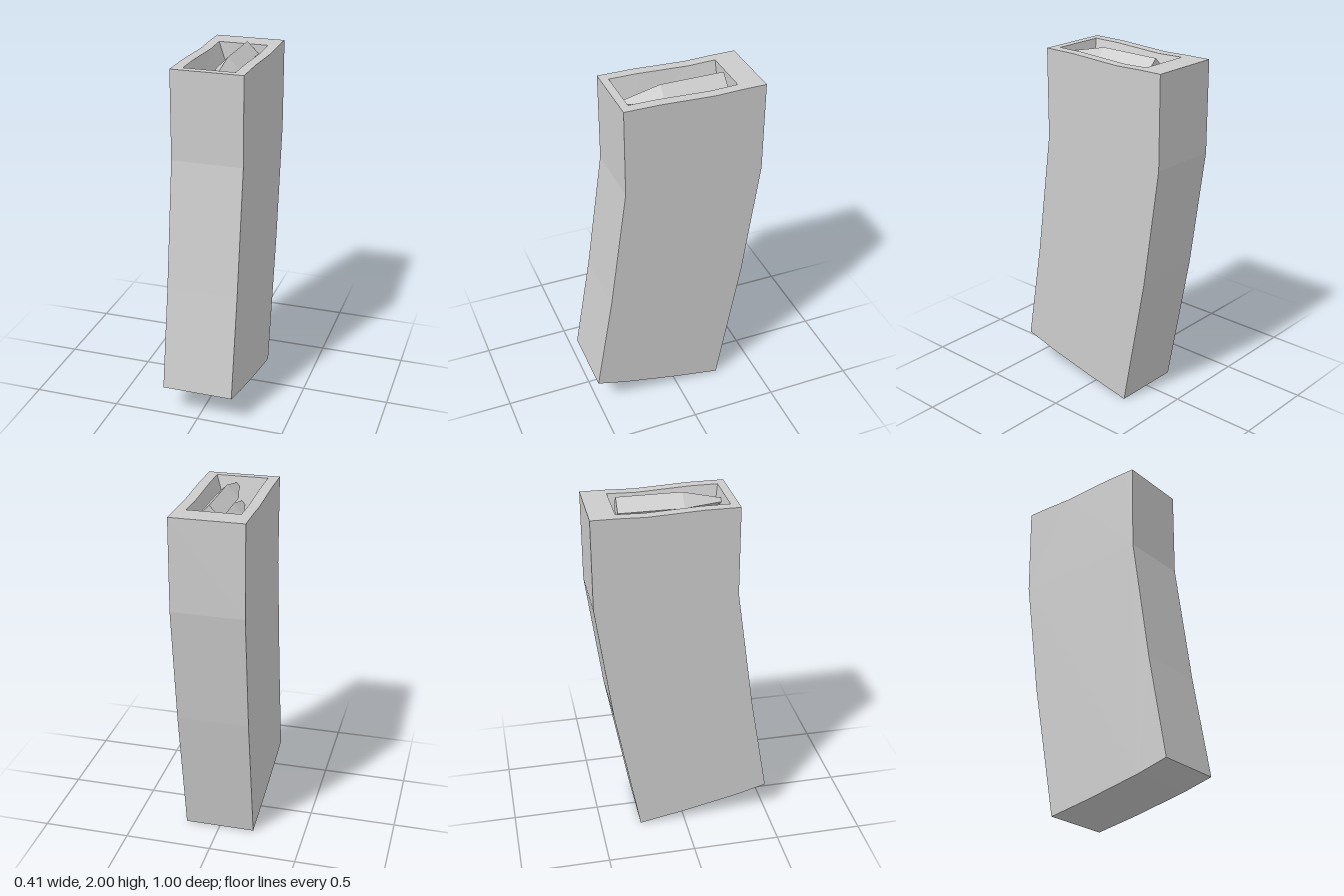
import * as THREE from 'three';

const material = new THREE.MeshStandardMaterial({ color: 0xcccccc, flatShading: true });

// Side outline as [z, y]: down the front, along the base, up the back
const wall = [
  [0.3, 1.985], [0.3, 1.48], [0.4, 0.76], [0.5, 0.17],
  [0.32, 0.12], [0, 0.05], [-0.265, 0],
  [-0.405, 0.78], [-0.495, 1.46], [-0.495, 1.978],
];
// Slightly wavy rim, back to front; the well opens between the 2nd and 5th stations
const rim = [[-0.495, 1.978], [-0.355, 1.977], [-0.2, 1.972], [0.1, 1.985], [0.255, 1.985], [0.3, 1.985]];
const HALF = 0.203, OPEN = 0.145, FLOOR = 0.083, FLOOR_Y = 1.79;

function createBody() {
  const pos = [];
  const tri = (...pts) => pts.forEach((p) => pos.push(...p));
  const quad = (a, b, c, d) => tri(a, b, c, a, c, d);
  const at = (x, [z, y]) => [x, y, z];
  const strip = (a, b, x0, x1) => quad(at(x0, a), at(x0, b), at(x1, b), at(x1, a));
  const floorOf = ([z]) => [Math.min(z, 0.22), FLOOR_Y];

  // Front, base and back
  for (let i = 0; i < wall.length - 1; i++) strip(wall[i], wall[i + 1], -HALF, HALF);

  // Flat sides
  const outline = [...wall, ...rim.slice(1, -1)];
  const flat = outline.map(([z, y]) => new THREE.Vector2(-z, y));
  for (const [i, j, k] of THREE.ShapeUtils.triangulateShape(flat, [])) {
    tri(at(HALF, outline[i]), at(HALF, outline[j]), at(HALF, outline[k]));
    tri(at(-HALF, outline[i]), at(-HALF, outline[k]), at(-HALF, outline[j]));
  }

  // Rim with the tapered well inside it
  for (let i = 0; i < rim.length - 1; i++) {
    const a = rim[i], b = rim[i + 1];
    if (i === 0 || i === rim.length - 2) {
      strip(a, b, -HALF, HALF);
      continue;
    }
    const fa = floorOf(a), fb = floorOf(b);
    strip(a, b, -HALF, -OPEN);
    strip(a, b, OPEN, HALF);
    strip(fa, fb, -FLOOR, FLOOR);
    quad(at(-OPEN, a), at(-OPEN, b), at(-FLOOR, fb), at(-FLOOR, fa));
    quad(at(OPEN, a), at(FLOOR, fa), at(FLOOR, fb), at(OPEN, b));
  }
  const back = rim[1], front = rim[4], fBack = floorOf(back), fFront = floorOf(front);
  quad(at(OPEN, back), at(-OPEN, back), at(-FLOOR, fBack), at(FLOOR, fBack));
  quad(at(-OPEN, front), at(OPEN, front), at(FLOOR, fFront), at(-FLOOR, fFront));

  const geometry = new THREE.BufferGeometry();
  geometry.setAttribute('position', new THREE.Float32BufferAttribute(pos, 3));
  geometry.computeVertexNormals();
  const mesh = new THREE.Mesh(geometry, material);
  mesh.name = 'body';
  return mesh;
}

// Four-sided round with a tapered nose pointing forward
function createRound(name, x, y, z) {
  const profile = [[0, -0.325], [0.067, -0.325], [0.067, 0.035], [0.017, 0.247], [0, 0.247]];
  const geometry = new THREE.LatheGeometry(profile.map(([r, l]) => new THREE.Vector2(r, l)), 4);
  geometry.rotateX(Math.PI / 2);
  const mesh = new THREE.Mesh(geometry, material);
  mesh.name = name;
  mesh.position.set(x, y, z);
  return mesh;
}

export function createModel() {
  const model = new THREE.Group();
  model.name = 'magazine';
  model.add(
    createBody(),
    createRound('upperRound', 0.032, 1.933, 0),
    createRound('lowerRound', -0.003, 1.835, -0.013),
  );
  return model;
}
